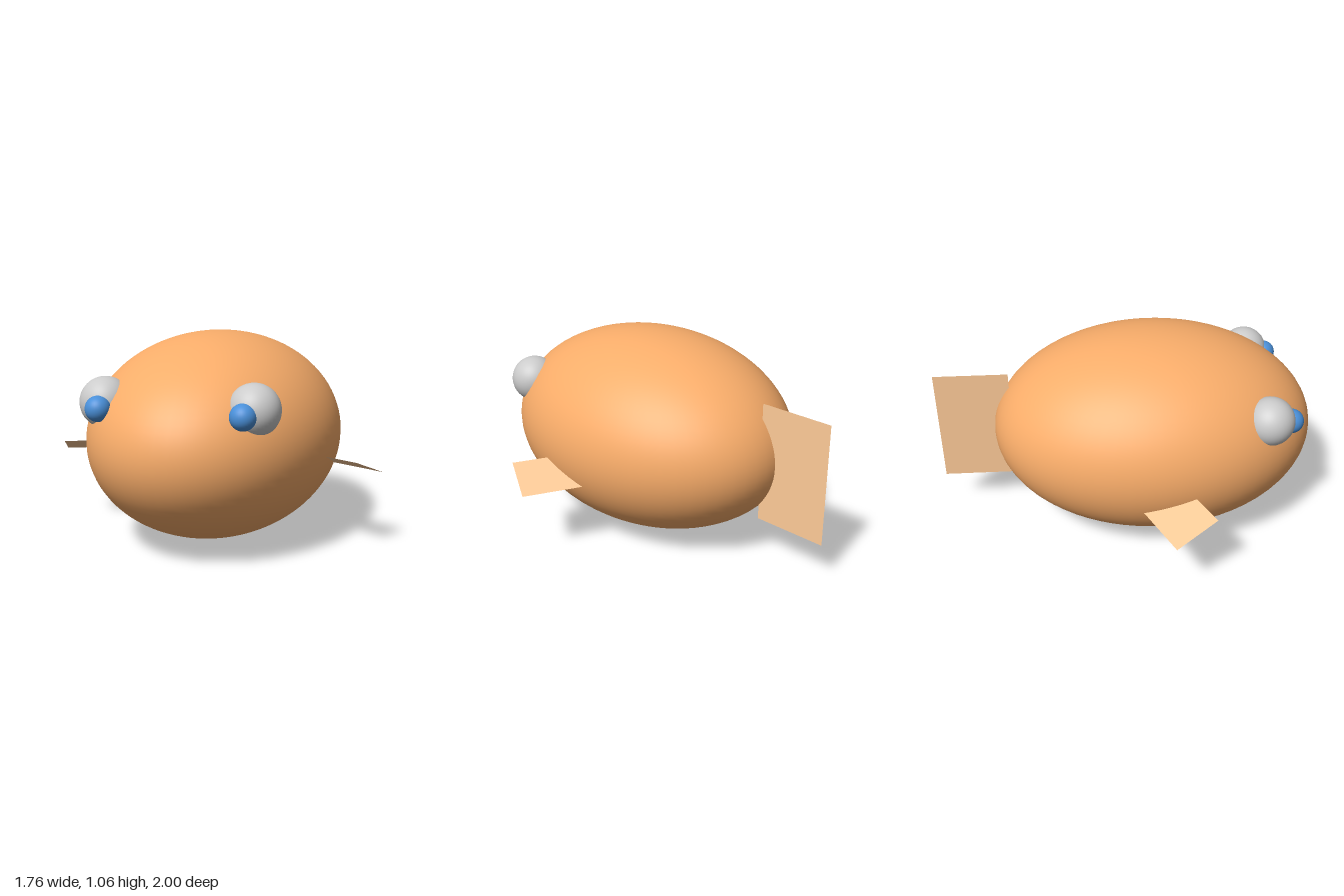
import * as THREE from 'three';

const material = (color, side = THREE.FrontSide) => new THREE.MeshStandardMaterial({ color, side });

export function createModel() {
  const model = new THREE.Group();
  const skin = material(0xf9ad6a);
  const finSkin = material(0xffcc99, THREE.DoubleSide);
  const white = material(0xcccccc);
  const blue = material(0x4a90d9);

  const add = (name, geometry, mat, x, y, z) => {
    const mesh = new THREE.Mesh(geometry, mat);
    mesh.name = name;
    mesh.position.set(x, y, z);
    model.add(mesh);
    return mesh;
  };

  // Egg-shaped body
  add('body', new THREE.SphereGeometry(1, 64, 48), skin, 0, 0.532, 0.15).scale.set(0.633, 0.53, 0.85);

  // Flat upright tail
  const tail = new THREE.PlaneGeometry(0.39, 0.635).rotateY(Math.PI / 2);
  add('tailFin', tail, finSkin, 0, 0.533, -0.805);

  // Eyes and swept, tilted side fins, mirrored left and right
  const eye = new THREE.SphereGeometry(0.124, 40, 28);
  const pupil = new THREE.SphereGeometry(0.062, 32, 24);
  const fin = new THREE.PlaneGeometry(0.38, 0.243).rotateX(1.213);
  for (const [side, s] of [['left', 1], ['right', -1]]) {
    add(side + 'Eye', eye, white, s * 0.37, 0.75, 0.705);
    add(side + 'Pupil', pupil, blue, s * 0.353, 0.735, 0.817);
    add(side + 'Fin', fin, finSkin, s * 0.659, 0.428, 0.21).rotation.y = -s * 0.449;
  }

  return model;
}
